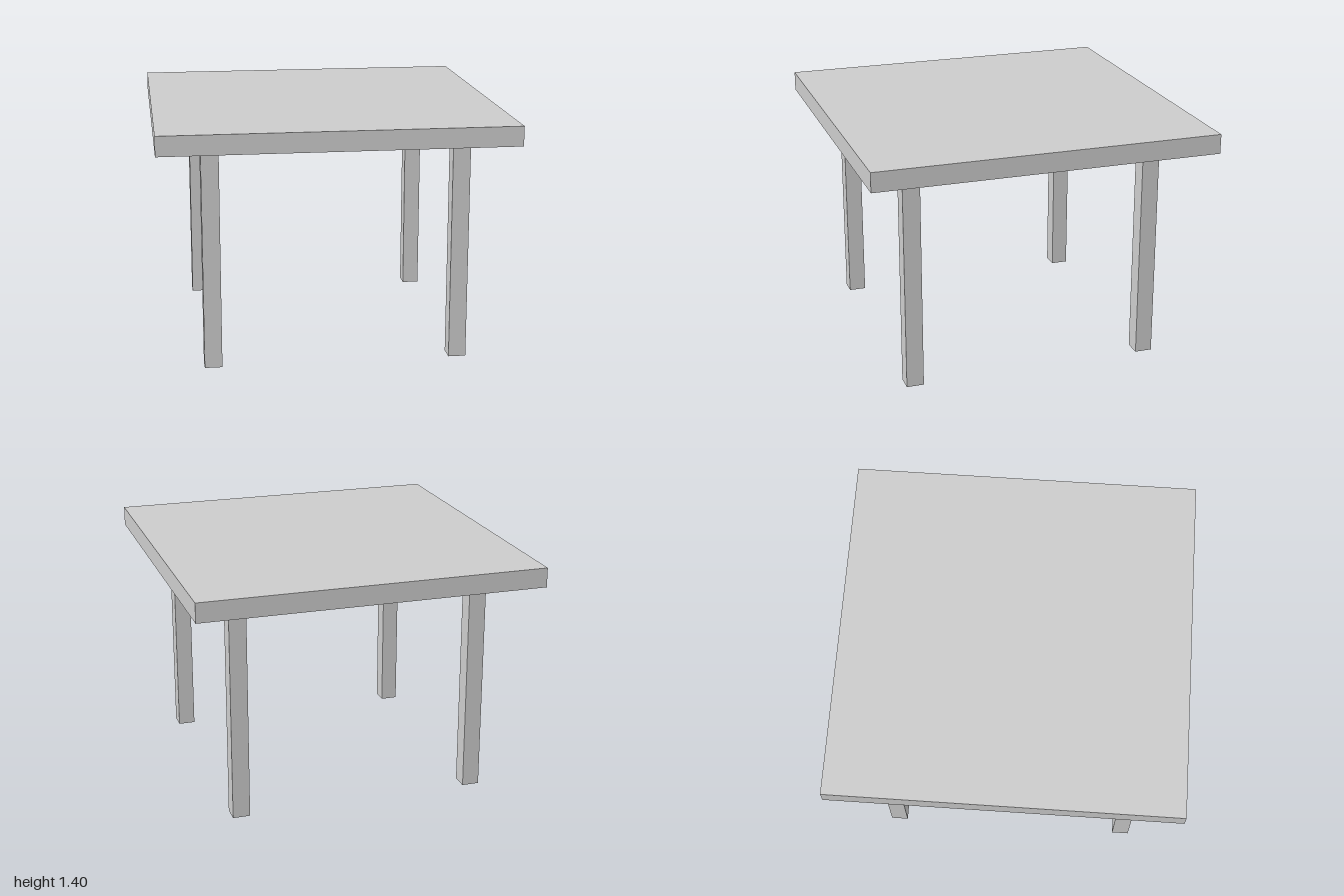
import * as THREE from 'three';

export function createModel() {
  const table = new THREE.Group();
  table.name = 'table';
  const material = new THREE.MeshStandardMaterial({ color: 0xcccccc, flatShading: true });

  const legHeight = 1.287;
  const topThickness = 0.113;
  const legWidth = 0.1;

  const addBox = (name, [w, h, d], [x, y, z]) => {
    const mesh = new THREE.Mesh(new THREE.BoxGeometry(w, h, d), material);
    mesh.name = name;
    mesh.position.set(x, y, z);
    table.add(mesh);
  };

  // Square slab top
  addBox('tableTop', [2, topThickness, 2], [0, legHeight + topThickness / 2, 0]);

  // Four square legs, set in from the edges and slightly off centre
  for (const [side, x] of [['Left', 0.711], ['Right', -0.7]]) {
    for (const [end, z] of [['front', 0.721], ['back', -0.69]]) {
      addBox(`${end}${side}Leg`, [legWidth, legHeight, legWidth], [x, legHeight / 2, z]);
    }
  }

  return table;
}
